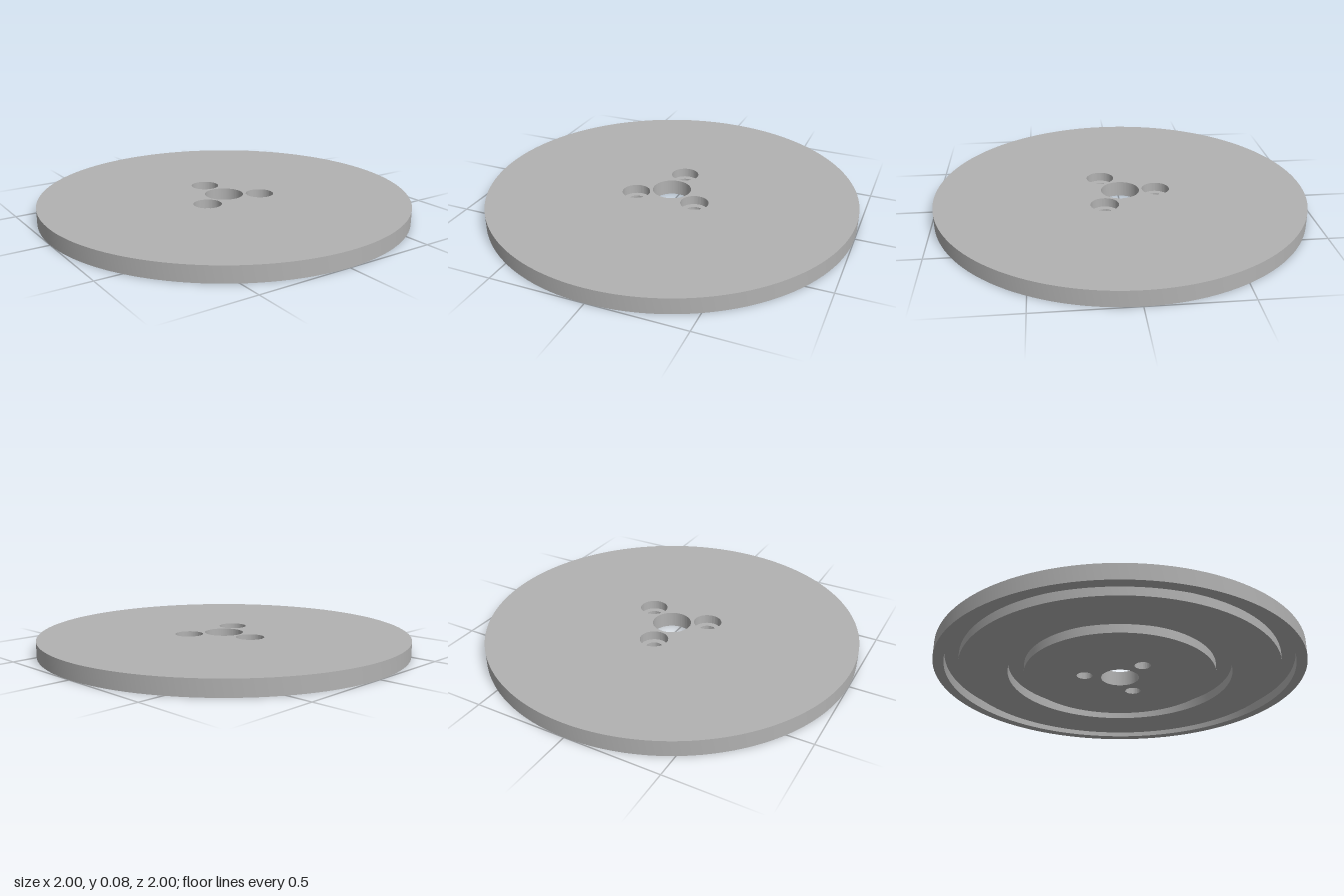
import * as THREE from 'three';
import { toCreasedNormals } from 'three/addons/utils/BufferGeometryUtils.js';

const H = 0.083;          // disc thickness
const GROOVE = 0.05;      // depth of the underside grooves
const LEDGE = 0.034;      // height of the counterbore ledge
const BORE = 0.104;       // centre hole radius
const SINK = 0.075, BOLT = 0.043; // counterbore and bolt hole radii
const HUB = 0.524;        // radius of the flat hub underneath

export function createModel() {
  const group = new THREE.Group();
  const metal = new THREE.MeshStandardMaterial({ color: 0xb2b2b2 });
  metal.name = 'grey metal';

  const add = (name, geometry) => {
    const mesh = new THREE.Mesh(geometry, metal);
    mesh.name = name;
    group.add(mesh);
    return mesh;
  };
  // Revolved profile of [radius, height] points with sharp corners
  const turned = (points, segments) => toCreasedNormals(
    new THREE.LatheGeometry(points.map(([r, y]) => new THREE.Vector2(r, y)), segments), 0.5);

  // Three bolt positions around the centre, as [x, z]
  const bolts = [0, 1, 2].map((i) => {
    const a = (i * Math.PI * 2) / 3;
    return [Math.sin(a) * 0.195, -Math.cos(a) * 0.195];
  });

  // Flat round face with the centre hole and bolt holes; side is 1 for up, -1 for down
  const face = (radius, boltRadius, y, side) => {
    const shape = new THREE.Shape().absarc(0, 0, radius, 0, Math.PI * 2);
    const cut = (x, z, r) => shape.holes.push(
      new THREE.Path().absarc(x, -side * z, r, 0, Math.PI * 2, true));
    cut(0, 0, BORE);
    bolts.forEach(([x, z]) => cut(x, z, boltRadius));
    return new THREE.ShapeGeometry(shape, 128).rotateX(-side * Math.PI / 2).translate(0, y, 0);
  };

  add('topFace', face(1, SINK, H, 1));
  add('hubUnderside', face(HUB, BOLT, 0, -1));

  // Underside with two ring grooves, and the outer rim
  add('groovedRim', turned([
    [HUB, 0], [HUB, GROOVE], [0.61, GROOVE], [0.61, 0],
    [0.87, 0], [0.87, GROOVE], [0.944, GROOVE], [0.944, 0],
    [1, 0], [1, H],
  ], 128));

  // Hole walls
  add('centreBore', turned([[BORE, H], [BORE, 0]], 128));
  bolts.forEach(([x, z], i) => {
    const hole = add('boltHole' + (i + 1),
      turned([[SINK, H], [SINK, LEDGE], [BOLT, LEDGE], [BOLT, 0]], 128));
    hole.position.set(x, 0, z);
  });

  return group;
}
